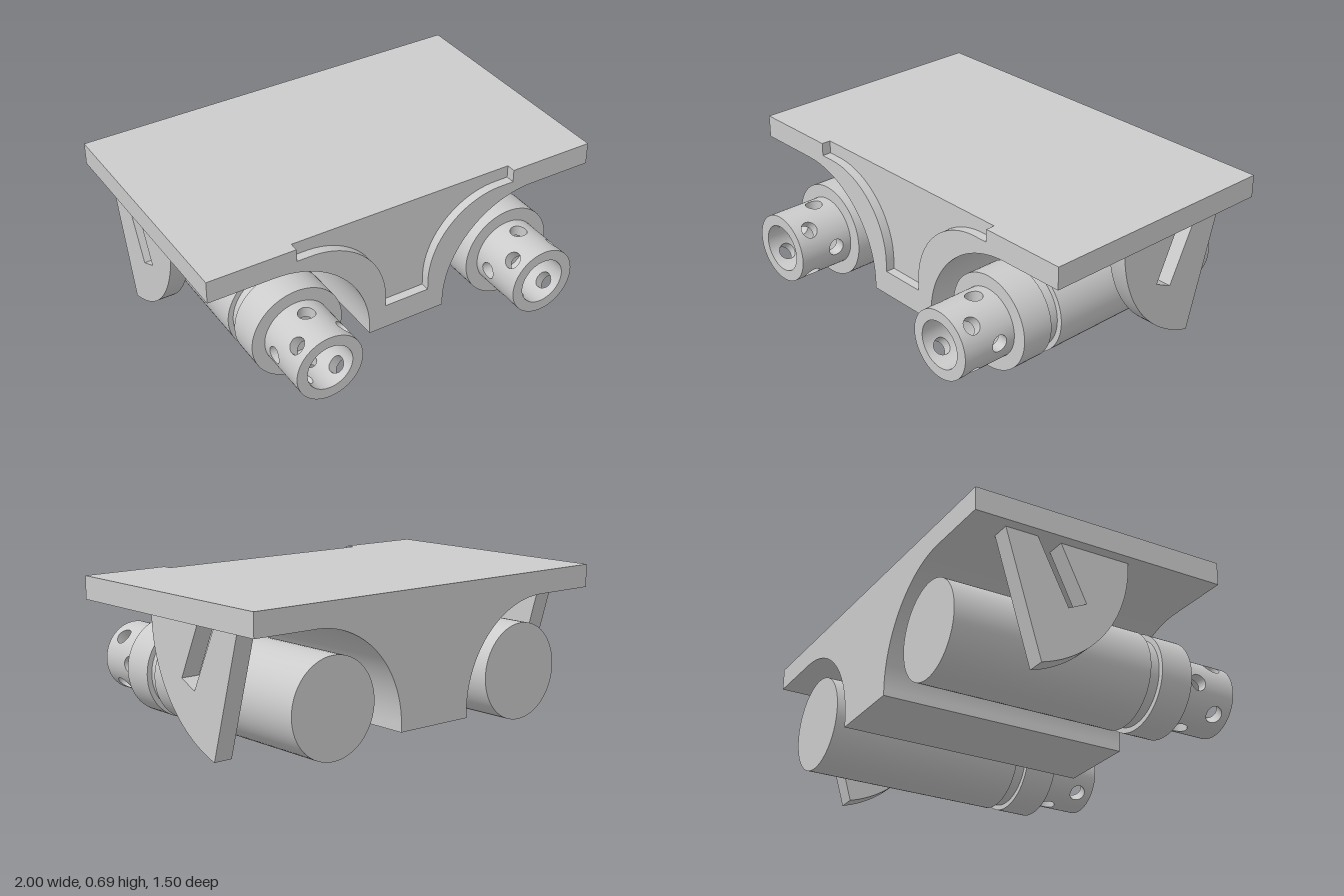
import * as THREE from 'three';
import { mergeGeometries, mergeVertices, toCreasedNormals } from 'three/addons/utils/BufferGeometryUtils.js';

const material = new THREE.MeshStandardMaterial({ color: 0xcccccc });
const openMaterial = new THREE.MeshStandardMaterial({ color: 0xcccccc, side: THREE.DoubleSide });

function addMesh(parent, name, geometry, mat = material) {
  const mesh = new THREE.Mesh(geometry, mat);
  mesh.name = name;
  parent.add(mesh);
  return mesh;
}

function extrude(shape, depth) {
  const g = new THREE.ExtrudeGeometry(shape, { depth, bevelEnabled: false, curveSegments: 32 });
  return toCreasedNormals(g, 0.5);
}

// Deck outline with two wheel-arch curves and a central keel, optionally notched from the top
function deckShape(notched) {
  const s = new THREE.Shape();
  s.moveTo(-1, 0.697);
  s.lineTo(-1, 0.588);
  s.lineTo(-0.68, 0.588);
  s.absarc(-0.68, 0.108, 0.48, Math.PI / 2, 0, true);
  s.lineTo(-0.2, 0.076);
  s.lineTo(0.2, 0.076);
  s.lineTo(0.2, 0.108);
  s.absarc(0.68, 0.108, 0.48, Math.PI, Math.PI / 2, true);
  s.lineTo(1, 0.588);
  s.lineTo(1, 0.697);
  if (notched) {
    s.lineTo(0.57, 0.697);
    s.lineTo(0.57, 0.635);
    s.absarc(0.5, 0.25, 0.385, Math.PI / 2, Math.PI, false);
    s.lineTo(0.115, 0.2);
    s.lineTo(-0.115, 0.2);
    s.absarc(-0.5, 0.25, 0.385, 0, Math.PI / 2, false);
    s.lineTo(-0.57, 0.635);
    s.lineTo(-0.57, 0.697);
  }
  return s;
}

// Side fin profile, drawn with shape x = -z
function finShape() {
  const s = new THREE.Shape();
  s.moveTo(-0.035, 0.59);
  s.absarc(0.572, 0.59, 0.607, Math.PI, Math.PI * 1.5 - 0.27, false);
  s.lineTo(0.41, 0.005);
  s.lineTo(0.578, 0.59);
  s.lineTo(0.422, 0.59);
  s.lineTo(0.275, 0.288);
  s.lineTo(0.185, 0.33);
  s.lineTo(0.308, 0.59);
  return s;
}

const OUTER = 0.165, INNER = 0.113, HOLE = 0.04, Z0 = 0.47, Z1 = 0.75;

// Grid of rows x cols points turned into a surface
function gridSurface(rows, cols, point) {
  const pos = [], index = [];
  for (let i = 0; i <= rows; i++)
    for (let j = 0; j <= cols; j++) pos.push(...point(i / rows, j));
  for (let i = 0; i < rows; i++)
    for (let j = 0; j < cols; j++) {
      const a = i * (cols + 1) + j, b = a + cols + 1;
      index.push(a, b, a + 1, b, b + 1, a + 1);
    }
  const g = new THREE.BufferGeometry();
  g.setAttribute('position', new THREE.Float32BufferAttribute(pos, 3));
  g.setIndex(index);
  return g;
}

// Eight drilled panels make up the nozzle: each fans out from its hole to a rectangle
const SIDE = 8;
function border(j) {
  const k = j % (4 * SIDE), side = Math.floor(k / SIDE), t = (k % SIDE) / SIDE * 2 - 1;
  return [[1, t], [-t, 1], [-1, -t], [t, -1]][side];
}
function holePoint(j, r, zc) {
  const [u, v] = border(j), a = Math.atan2(v, u);
  return [Math.asin(HOLE * Math.cos(a) / r), zc + HOLE * Math.sin(a)];
}
function polar(r, angle, z) {
  return [r * Math.cos(angle), r * Math.sin(angle), z];
}
function perPanel(build) {
  const parts = [];
  for (let k = 0; k < 8; k++) parts.push(build(k * Math.PI / 4, k % 2 ? 0.67 : 0.555));
  const g = mergeVertices(mergeGeometries(parts), 1e-5);
  g.computeVertexNormals();
  return g;
}
function drilledTube(r, inward) {
  const g = perPanel((mid, zc) => gridSurface(5, 4 * SIDE, (s, j) => {
    const [ha, hz] = holePoint(j, r, zc), [u, v] = border(j);
    const a = THREE.MathUtils.lerp(ha, u * Math.PI / 8, s);
    const z = THREE.MathUtils.lerp(hz, (Z0 + Z1) / 2 + v * (Z1 - Z0) / 2, s);
    return polar(r, mid + a, z);
  }));
  if (inward) {
    g.setIndex(Array.from(g.index.array).reverse());
    g.computeVertexNormals();
  }
  return g;
}
function holeWalls() {
  return perPanel((mid, zc) => gridSurface(1, 4 * SIDE, (s, j) => {
    const r = s ? OUTER : INNER, [a, z] = holePoint(j, r, zc);
    return polar(r, mid + a, z);
  }));
}

function createBarrel() {
  const barrel = new THREE.Group();
  // Main body, recessed groove and front collar
  for (const [name, r, back, front] of [
    ['barrelBody', 0.228, -0.73, 0.25],
    ['barrelGroove', 0.203, 0.25, 0.31],
    ['barrelCollar', 0.228, 0.31, Z0],
  ]) {
    const g = new THREE.CylinderGeometry(r, r, front - back, 64);
    g.rotateX(Math.PI / 2).translate(0, 0, (front + back) / 2);
    addMesh(barrel, name, g);
  }
  // Hollow nozzle with staggered vent holes
  addMesh(barrel, 'nozzleOuter', drilledTube(OUTER, false), openMaterial);
  addMesh(barrel, 'nozzleBore', drilledTube(INNER, true), openMaterial);
  addMesh(barrel, 'nozzleHoleWalls', holeWalls(), openMaterial);
  addMesh(barrel, 'nozzleRim', new THREE.RingGeometry(INNER, OUTER, 64).translate(0, 0, Z1));
  return barrel;
}

export function createModel() {
  const model = new THREE.Group();
  model.name = 'twinBarrelDeck';

  // Deck body and its notched front face
  addMesh(model, 'deck', extrude(deckShape(false), 1.19)).position.z = -0.75;
  addMesh(model, 'deckFrontPanel', extrude(deckShape(true), 0.045)).position.z = 0.44;

  const finGeometry = extrude(finShape(), 0.09).rotateY(Math.PI / 2);
  for (const side of [-1, 1]) {
    const label = side > 0 ? 'left' : 'right';
    const barrel = createBarrel();
    barrel.name = label + 'Barrel';
    barrel.position.set(side * 0.568, 0.236, 0);
    model.add(barrel);
    // Slotted fin hanging from the deck edge
    addMesh(model, label + 'Fin', finGeometry).position.x = side * 0.905 - 0.045;
  }
  return model;
}
